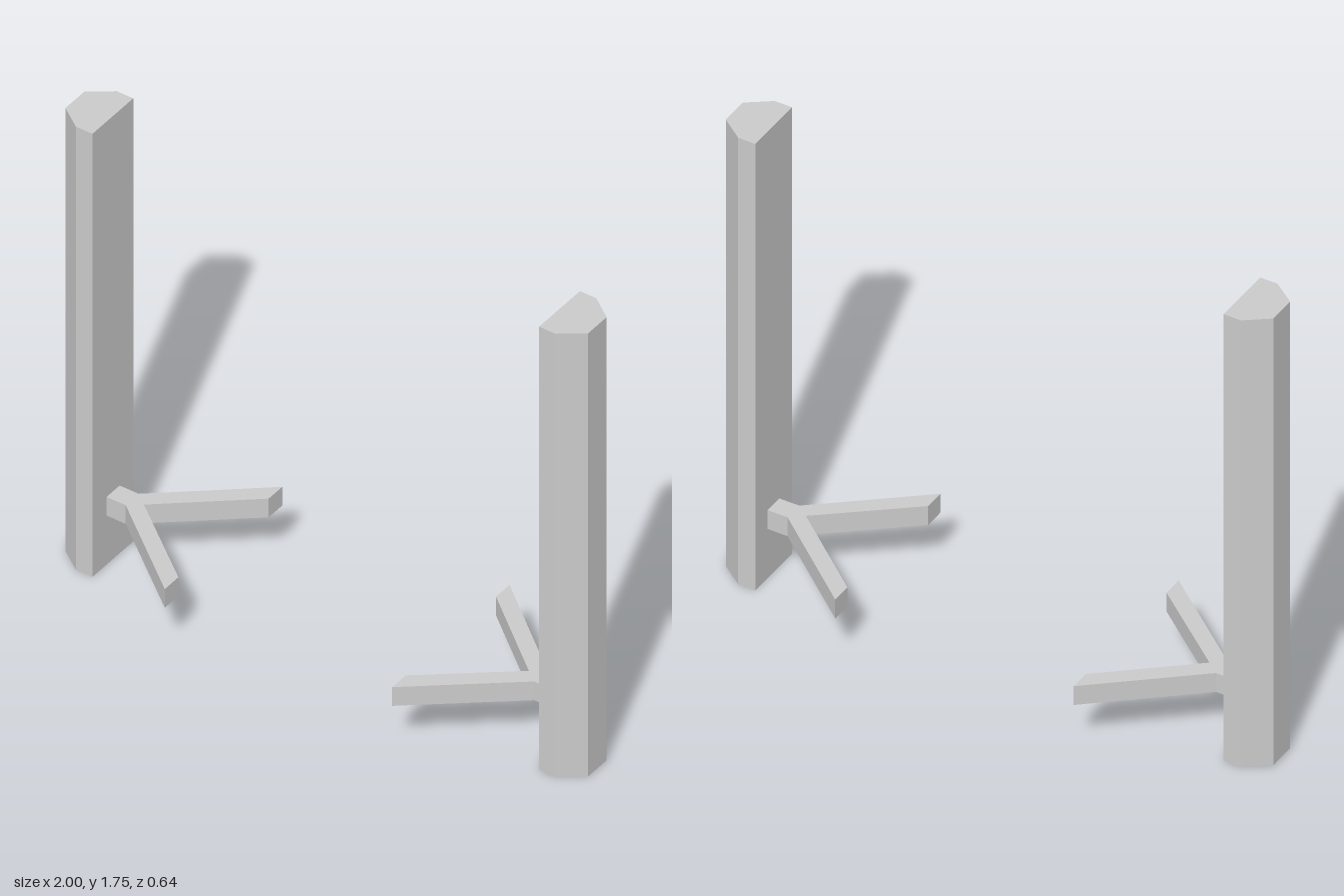
import * as THREE from 'three';

const material = new THREE.MeshStandardMaterial({ color: 0xcccccc, flatShading: true });

// Upright prism from a plan outline of [x, z] points, between two heights
function prism(name, outline, side, bottom, top) {
  const shape = new THREE.Shape(outline.map(([x, z]) => new THREE.Vector2(x * side, z)));
  const geometry = new THREE.ExtrudeGeometry(shape, { depth: top - bottom, bevelEnabled: false });
  geometry.rotateX(Math.PI / 2);
  geometry.translate(0, top, 0);
  const mesh = new THREE.Mesh(geometry, material);
  mesh.name = name;
  return mesh;
}

// Post: flat inner face, chamfered outer corners
const postPlan = [
  [0.855, -0.107], [0.918, -0.107], [1, -0.046],
  [1, 0.056], [0.918, 0.115], [0.855, 0.115],
];

// Forked bracket: short stem splitting into two arms
const bracketPlan = [
  [0.855, -0.033], [0.782, -0.033], [0.435, -0.321], [0.435, -0.247],
  [0.737, 0.003], [0.435, 0.244], [0.435, 0.318], [0.782, 0.038], [0.855, 0.038],
];

export function createModel() {
  const model = new THREE.Group();
  model.name = 'forkedPosts';
  for (const [label, side] of [['left', 1], ['right', -1]]) {
    const half = new THREE.Group();
    half.name = `${label}Support`;
    half.add(prism(`${label}Post`, postPlan, side, 0, 1.755));
    half.add(prism(`${label}ForkedBracket`, bracketPlan, side, 0.194, 0.268));
    model.add(half);
  }
  return model;
}
